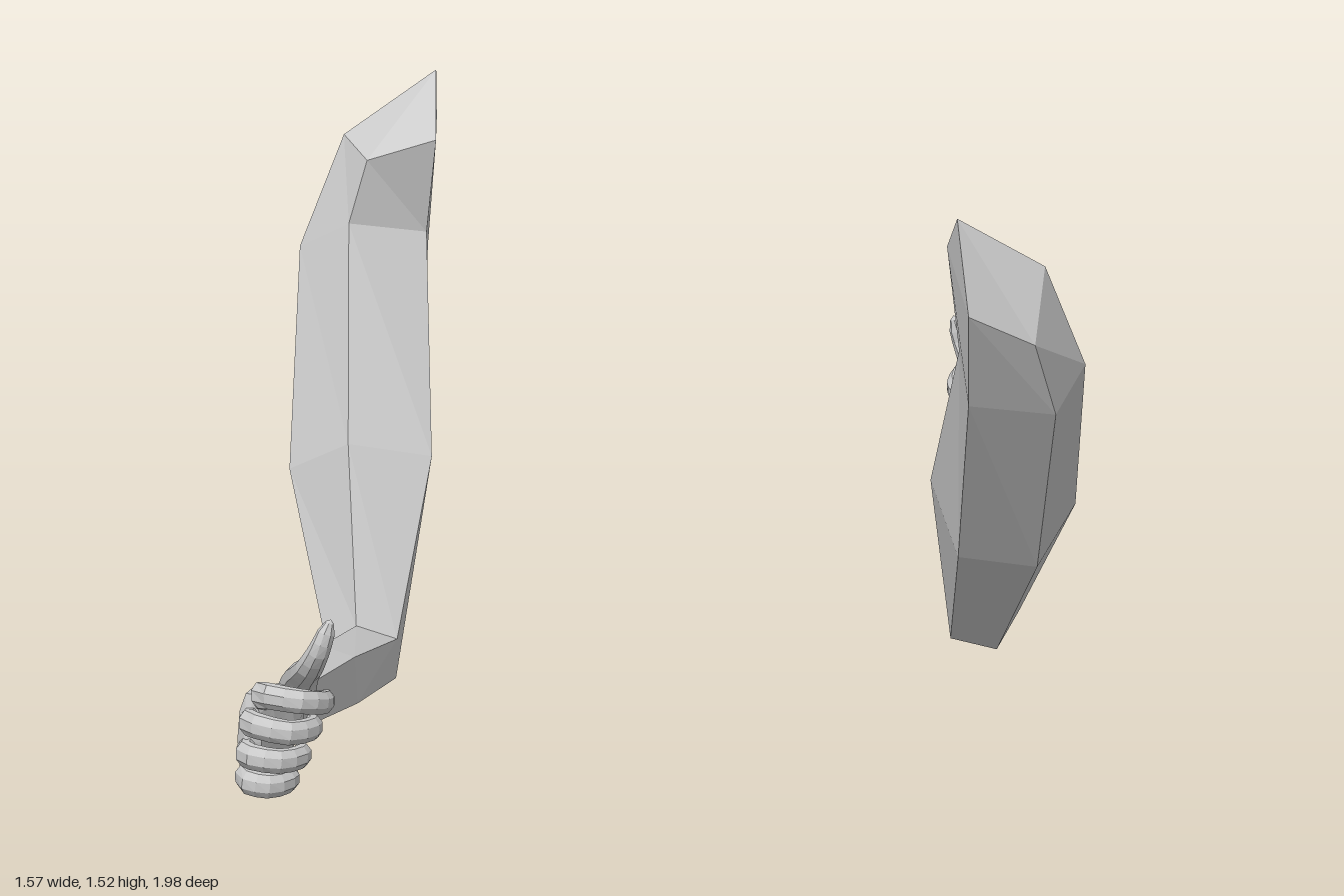
import * as THREE from 'three';

const material = new THREE.MeshStandardMaterial({ color: 0xcccccc, flatShading: true, side: THREE.DoubleSide });
const V = (p) => new THREE.Vector3(...p);

// Skin a list of equal-sized rings; each end closes as a fan to its apex point
function loft(name, rings, startApex, endApex) {
  const n = rings[0].length;
  const pos = [...rings.flat(), startApex, endApex].flat();
  const a = rings.length * n, b = a + 1, last = (rings.length - 1) * n;
  let faces = [];
  for (let i = 0; i < n; i++) {
    const j = (i + 1) % n;
    faces.push([a, j, i], [b, last + i, last + j]);
    for (let r = 0; r < last; r += n) {
      faces.push([r + i, r + j, r + n + j], [r + i, r + n + j, r + n + i]);
    }
  }
  // turn the faces outward using the enclosed volume
  const at = (i) => new THREE.Vector3().fromArray(pos, i * 3);
  const volume = faces.reduce((s, [p, q, r]) => s + at(p).dot(at(q).cross(at(r))), 0);
  if (volume < 0) faces = faces.map(([p, q, r]) => [p, r, q]);
  const geometry = new THREE.BufferGeometry();
  geometry.setAttribute('position', new THREE.Float32BufferAttribute(pos, 3));
  geometry.setIndex(faces.flat());
  geometry.computeVertexNormals();
  const mesh = new THREE.Mesh(geometry, material);
  mesh.name = name;
  return mesh;
}

const centroid = (ring) => [0, 1, 2].map((k) => ring.reduce((s, p) => s + p[k], 0) / ring.length);

// Oval ring around c, spanned by unit directions u and v
function oval(c, u, v, ru, rv, n) {
  return Array.from({ length: n }, (_, i) => {
    const t = ((i + 0.5) / n) * Math.PI * 2;
    return V(c).addScaledVector(u, Math.cos(t) * ru).addScaledVector(v, Math.sin(t) * rv).toArray();
  });
}

// Low-poly digit following a bent path, rounded off at the tip
function digit(name, points, reference, radii, flatness) {
  const curve = new THREE.CatmullRomCurve3(points.map(V), false, 'centripetal');
  const steps = 10;
  const rings = [];
  for (let i = 0; i <= steps; i++) {
    const t = i / steps;
    const tangent = curve.getTangent(t);
    const side = new THREE.Vector3().crossVectors(tangent, reference).normalize();
    const up = new THREE.Vector3().crossVectors(side, tangent).normalize();
    let r = THREE.MathUtils.lerp(radii[0], radii[1], t);
    if (i === steps) r *= 0.6;
    rings.push(oval(curve.getPoint(t).toArray(), up, side, r, r * flatness, 8));
  }
  const tip = curve.getPoint(1).addScaledVector(curve.getTangent(1), 0.01).toArray();
  return loft(name, rings, points[0], tip);
}

export function createModel() {
  const arm = new THREE.Group();
  arm.name = 'arm';

  // Five-cornered rings: front, inner top, inner back, outer back, outer bottom
  const shoulder = [[-0.69, 1.36, -0.62], [-0.53, 1.34, -0.56], [-0.42, 1.39, -0.72], [-0.72, 1.31, -1], [-0.79, 1.19, -0.79]];
  const deltoid = [[-0.73, 1.05, -0.49], [-0.54, 1.165, -0.5], [-0.475, 1.1, -0.735], [-0.62, 1, -0.875], [-0.76, 0.95, -0.66]];
  const biceps = [[-0.475, 0.525, -0.215], [-0.25, 0.655, -0.23], [-0.15, 0.59, -0.455], [-0.34, 0.43, -0.57], [-0.51, 0.4, -0.43]];
  const elbow = [[-0.15, 0.11, -0.06], [-0.065, 0.2, -0.09], [0, 0.155, -0.185], [-0.01, 0.035, -0.19], [-0.115, 0.005, -0.115]];
  const forearm = [[0.1, 0.15, 0.25], [0.13, 0.27, 0.22], [0.21, 0.245, 0.17], [0.2, 0.1, 0.15], [0.14, 0.06, 0.21]];
  const wrist = [[0.37, 0.21, 0.62], [0.38, 0.33, 0.56], [0.43, 0.31, 0.57], [0.43, 0.19, 0.58], [0.39, 0.165, 0.6]];

  arm.add(loft('upperArm', [shoulder, deltoid, biceps, elbow], [-0.56, 1.53, -0.85], centroid(elbow)));
  arm.add(loft('forearm', [elbow, forearm, wrist], centroid(elbow), centroid(wrist)));

  // Hand, held upright with the palm facing inward
  const hand = new THREE.Group();
  hand.name = 'hand';
  arm.add(hand);
  const up = new THREE.Vector3(0, 1, 0);
  const across = new THREE.Vector3(0.88, 0, -0.47);
  const palmSections = [
    // centre, half height, half thickness
    [[0.4, 0.25, 0.58], 0.085, 0.036],
    [[0.43, 0.245, 0.635], 0.1, 0.045],
    [[0.48, 0.25, 0.71], 0.125, 0.05],
    [[0.54, 0.27, 0.83], 0.15, 0.046],
    [[0.58, 0.28, 0.91], 0.145, 0.036],
  ].map(([c, h, t]) => oval(c, up, across, h, t, 10));
  hand.add(loft('palm', palmSections, [0.39, 0.25, 0.56], [0.595, 0.28, 0.94]));

  // Curled fingers from knuckle to tip
  const fingers = {
    indexFinger: [[0.55, 0.38, 0.83], [0.65, 0.435, 0.92], [0.745, 0.43, 0.87], [0.735, 0.4, 0.77], [0.69, 0.385, 0.72]],
    middleFinger: [[0.56, 0.33, 0.88], [0.635, 0.355, 0.955], [0.73, 0.34, 0.9], [0.715, 0.325, 0.79], [0.66, 0.315, 0.76]],
    ringFinger: [[0.56, 0.25, 0.89], [0.625, 0.26, 0.96], [0.7, 0.25, 0.91], [0.69, 0.24, 0.81], [0.64, 0.235, 0.78]],
    littleFinger: [[0.54, 0.18, 0.84], [0.595, 0.175, 0.94], [0.655, 0.165, 0.91], [0.65, 0.16, 0.82], [0.61, 0.16, 0.79]],
  };
  for (const [name, path] of Object.entries(fingers)) {
    hand.add(digit(name, path, up, [0.041, 0.032], 0.75));
  }

  // Raised thumb, thick at its root
  const thumb = [[0.43, 0.29, 0.6], [0.52, 0.39, 0.66], [0.62, 0.46, 0.72], [0.675, 0.535, 0.73], [0.693, 0.61, 0.71]];
  hand.add(digit('thumb', thumb, new THREE.Vector3(-0.5, 0, 0.87), [0.06, 0.022], 0.8));

  return arm;
}
